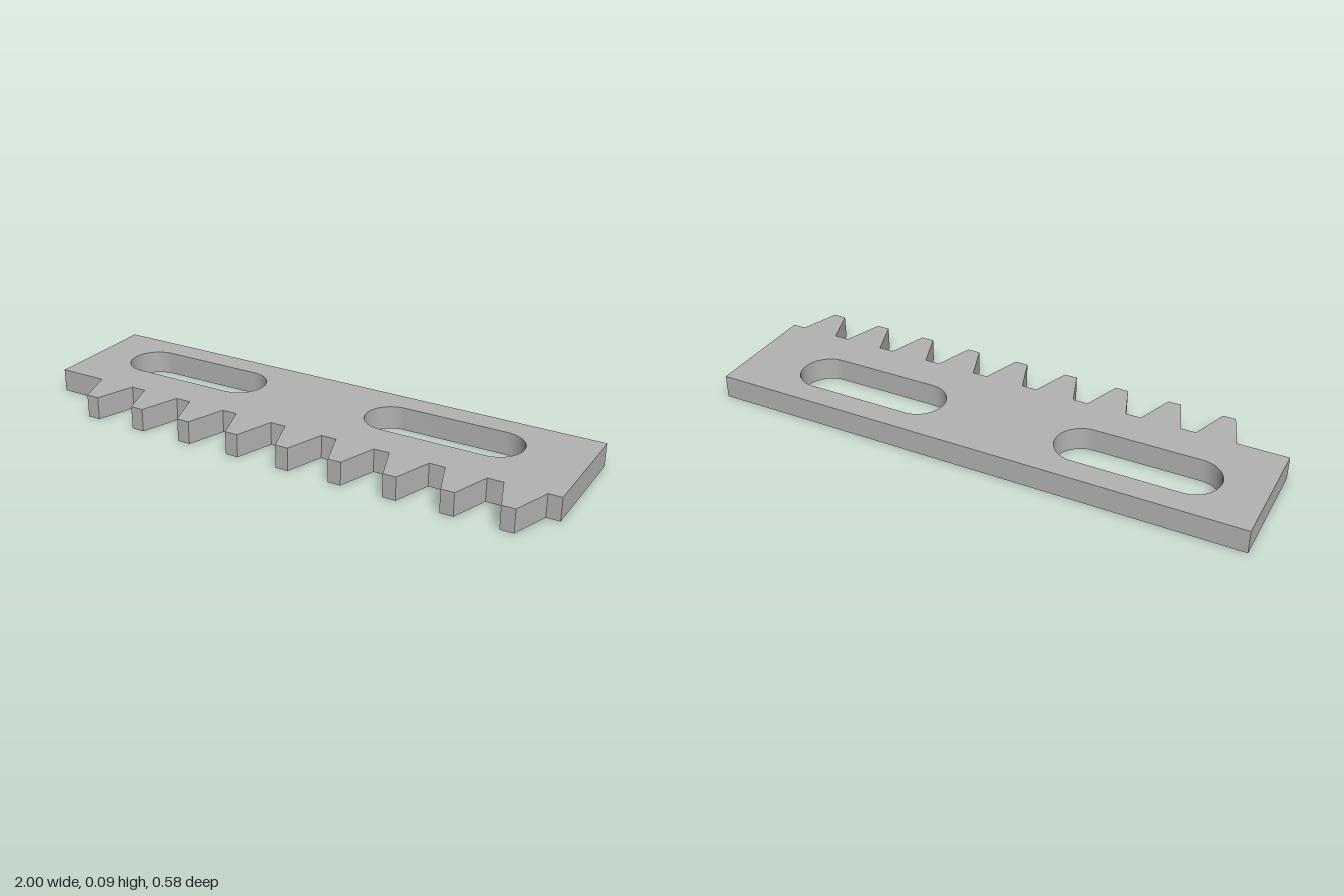
import * as THREE from 'three';
import { toCreasedNormals } from 'three/addons/utils/BufferGeometryUtils.js';

const HEIGHT = 0.086;
const BACK = -0.289, ROOT = 0.147, TIP = 0.289;
const TEETH = 9, FIRST = -0.744, PITCH = 0.2028;
const ROOT_HALF = 0.073, TIP_HALF = 0.024;

// Rounded-end slot between two x limits
function slot(x0, x1, z, r) {
  const p = new THREE.Path();
  p.absarc(x1 - r, z, r, -Math.PI / 2, Math.PI / 2, false);
  p.absarc(x0 + r, z, r, Math.PI / 2, Math.PI * 1.5, false);
  p.closePath();
  return p;
}

export function createModel() {
  const group = new THREE.Group();
  group.name = 'gearRack';
  const steel = new THREE.MeshStandardMaterial({ color: 0xb2b2b2 });
  steel.name = 'steelGrey';

  // Outline in plan (shape y becomes z): plain back, toothed front
  const outline = new THREE.Shape();
  outline.moveTo(-1, BACK);
  outline.lineTo(1, BACK);
  outline.lineTo(1, ROOT);
  for (let i = TEETH - 1; i >= 0; i--) {
    const x = FIRST + i * PITCH;
    outline.lineTo(x + ROOT_HALF, ROOT);
    outline.lineTo(x + TIP_HALF, TIP);
    outline.lineTo(x - TIP_HALF, TIP);
    outline.lineTo(x - ROOT_HALF, ROOT);
  }
  outline.lineTo(-1, ROOT);
  outline.closePath();

  // Two mounting slots
  outline.holes.push(slot(-0.844, -0.254, -0.098, 0.1), slot(0.188, 0.778, -0.098, 0.1));

  // Lay the extrusion flat; creased normals keep the slot ends smooth
  let geometry = new THREE.ExtrudeGeometry(outline, { depth: HEIGHT, bevelEnabled: false, curveSegments: 24 });
  geometry.rotateX(Math.PI / 2);
  geometry.translate(0, HEIGHT, 0);
  geometry = toCreasedNormals(geometry, Math.PI / 6);

  const rack = new THREE.Mesh(geometry, steel);
  rack.name = 'toothedBar';
  group.add(rack);
  return group;
}
